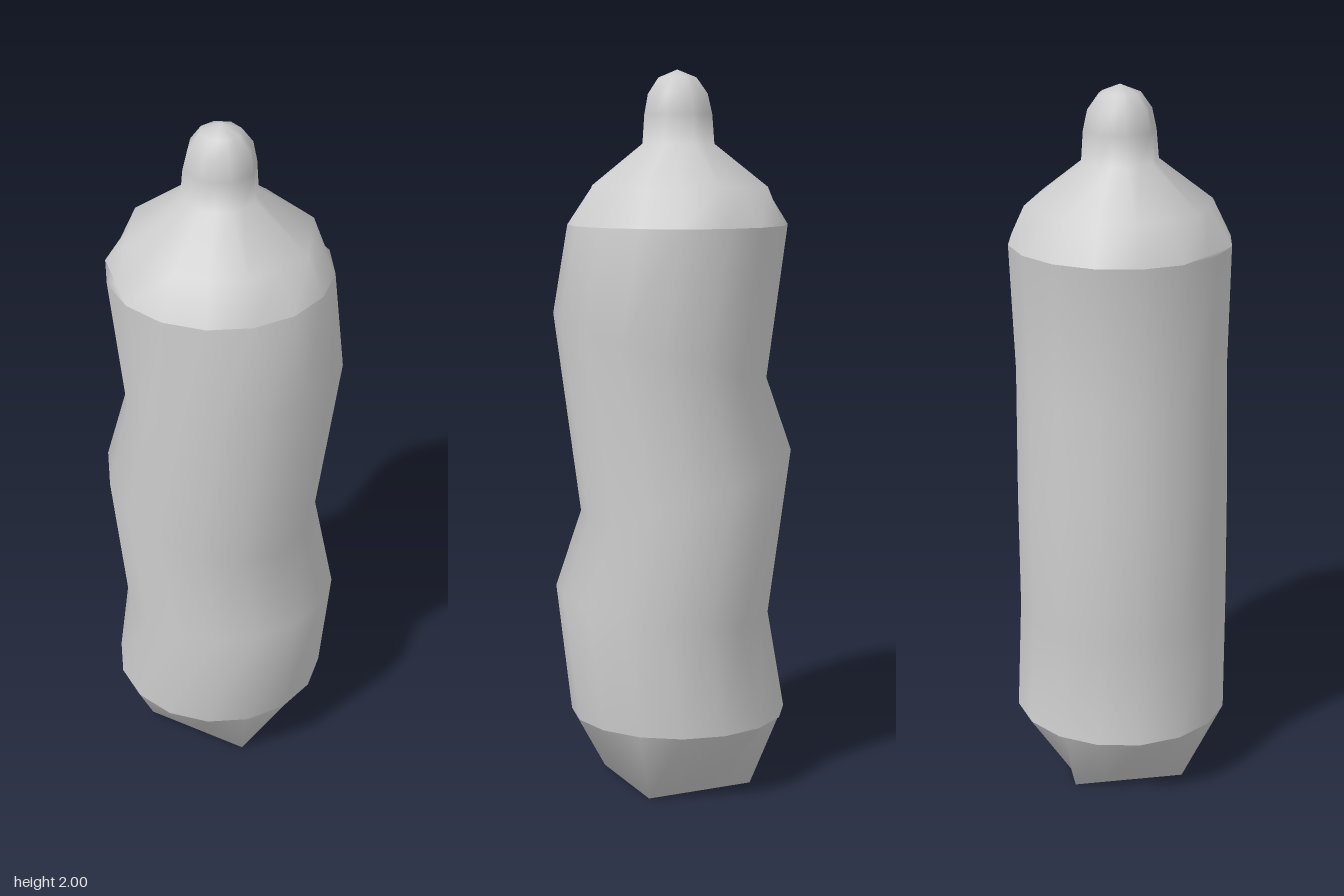
import * as THREE from 'three';

const SIDES = 16;

// Cross-sections from bottom to top:
// y = height, cx/cz = centre, r = radius, n = polygon sides,
// tx/tz = slope of the ring plane, flat = axis on which the ring is cut flat
const RINGS = [
  { y: 0.0, cx: 0, cz: -0.013, r: 0.222, n: 4 },                                // square foot
  { y: 0.2, cx: -0.007, cz: -0.015, r: 0.304, flat: 'z' },                      // top of foot
  { y: 0.2, cx: -0.007, cz: -0.015, r: 0.304 },                                 // wavy body
  { y: 0.52, cx: 0.0125, cz: 0.025, r: 0.301, tx: 0.05, tz: 0.13 },
  { y: 0.86, cx: -0.025, cz: -0.0325, r: 0.297, tx: -0.165, tz: -0.24 },
  { y: 1.245, cx: 0.02, cz: 0.0275, r: 0.297, tx: 0.13, tz: 0.28 },
  { y: 1.58, cx: -0.005, cz: -0.015, r: 0.305 },
  { y: 1.58, cx: -0.005, cz: -0.015, r: 0.305, flat: 'x' },                     // shoulder
  { y: 1.685, cx: -0.003, cz: -0.018, r: 0.257, n: 8 },
  { y: 1.8, cx: -0.005, cz: -0.016, r: 0.105, n: 8 },                           // rounded tip
  { y: 1.88, cx: -0.004, cz: -0.016, r: 0.099, n: 8 },
  { y: 1.935, cx: -0.003, cz: -0.015, r: 0.087, n: 8 },
  { y: 1.978, cx: -0.003, cz: -0.014, r: 0.056, n: 8 },
];

// Point of a ring at step j
function ringPoint({ y, cx, cz, r, n = SIDES, tx = 0, tz = 0, flat }, j) {
  const a = (j / SIDES) * Math.PI * 2;
  const step = (Math.PI * 2) / n;
  let d = (r * Math.cos(step / 2)) / Math.cos((a % step) - step / 2);
  if (n === SIDES) d = r;
  if ((flat === 'x' && j % 8 === 0) || (flat === 'z' && j % 8 === 4)) d *= Math.cos(Math.PI / 8);
  const x = d * Math.cos(a), z = d * Math.sin(a);
  return [cx + x, y + tx * x + tz * z, cz + z];
}

// Smooth closed skin through all rings
function loft(rings, bottom, top) {
  const pos = [], index = [];
  for (const ring of rings) for (let j = 0; j < SIDES; j++) pos.push(...ringPoint(ring, j));
  const low = pos.length / 3, high = low + 1, last = (rings.length - 1) * SIDES;
  pos.push(...bottom, ...top);
  for (let j = 0; j < SIDES; j++) {
    const k = (j + 1) % SIDES;
    index.push(low, j, k);
    for (let o = 0; o < last; o += SIDES) {
      index.push(o + j, o + SIDES + j, o + k, o + k, o + SIDES + j, o + SIDES + k);
    }
    index.push(last + j, high, last + k);
  }
  const geo = new THREE.BufferGeometry();
  geo.setAttribute('position', new THREE.Float32BufferAttribute(pos, 3));
  geo.setIndex(index);
  geo.computeVertexNormals();
  return geo;
}

export function createModel() {
  const grey = new THREE.MeshStandardMaterial({ color: 0xcccccc });
  grey.name = 'light grey';

  const group = new THREE.Group();
  group.name = 'wavyBottle';
  const body = new THREE.Mesh(loft(RINGS, [0, 0, -0.013], [-0.003, 2, -0.014]), grey);
  body.name = 'bottleBody';
  group.add(body);
  return group;
}
